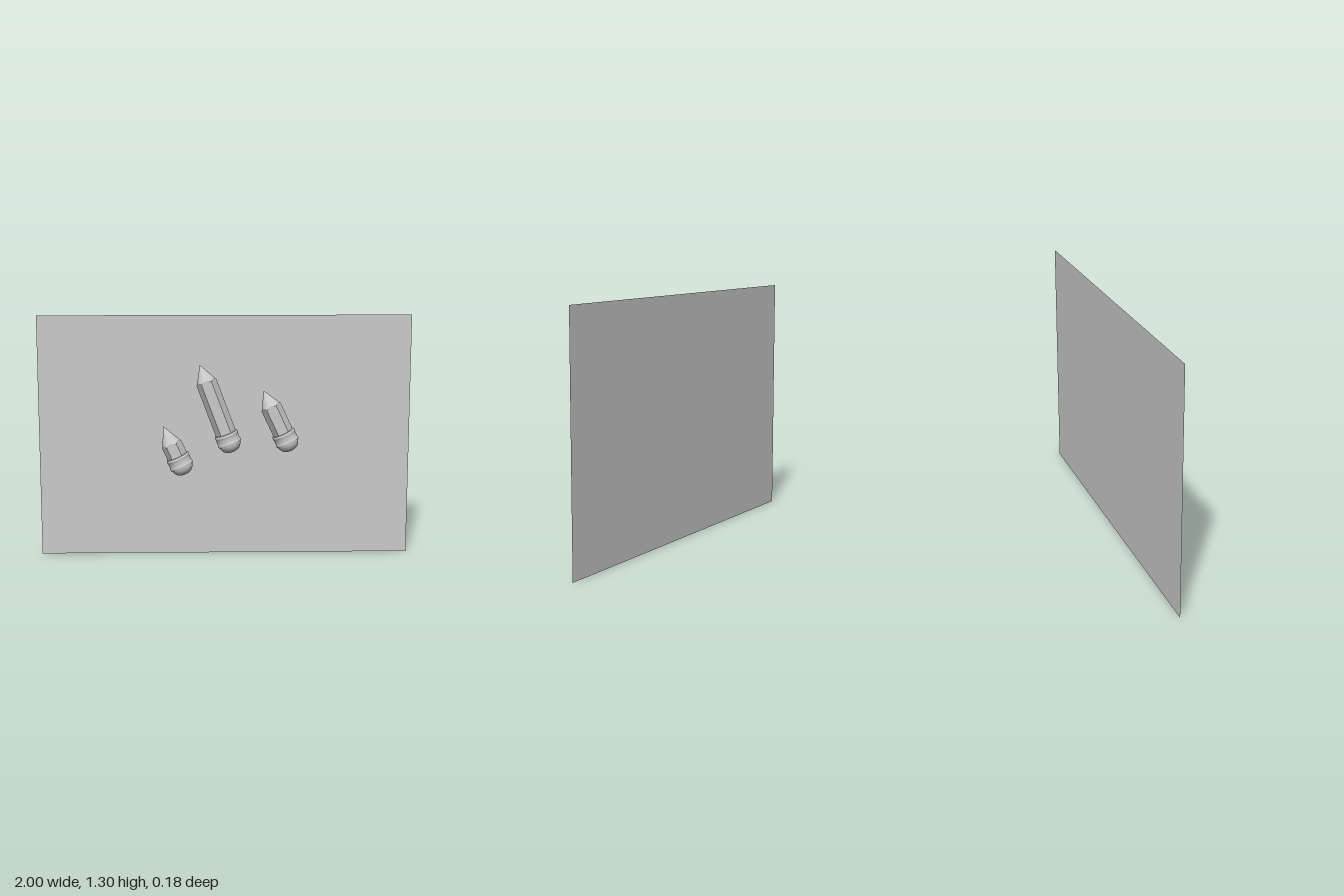
import * as THREE from 'three';
import { toCreasedNormals } from 'three/addons/utils/BufferGeometryUtils.js';

const grey = new THREE.MeshStandardMaterial({ color: 0xcccccc });
const greyDouble = new THREE.MeshStandardMaterial({ color: 0xcccccc, side: THREE.DoubleSide });

const APOTHEM = 0.048; // half the distance between flats
const CORNER = APOTHEM / Math.cos(Math.PI / 6);
const SIDES = 48;

// Radius of the hexagon at an angle, flats facing +z and -z
function hexRadius(angle) {
  const step = Math.PI / 3;
  return APOTHEM / Math.cos(angle - Math.round(angle / step) * step);
}

// Tube whose upper and lower rims are placed by rules of the angle
function hexTube(topRule, bottomRule) {
  const geo = new THREE.CylinderGeometry(1, 1, 2, SIDES, 1, true);
  const p = geo.attributes.position;
  for (let i = 0; i < p.count; i++) {
    const angle = Math.atan2(p.getX(i), p.getZ(i));
    const [r, y] = (p.getY(i) > 0 ? topRule : bottomRule)(angle);
    p.setXYZ(i, r * Math.sin(angle), y, r * Math.cos(angle));
  }
  return toCreasedNormals(geo, 0.5);
}

function part(name, geometry) {
  const mesh = new THREE.Mesh(geometry, grey);
  mesh.name = name;
  return mesh;
}

function lathe(points) {
  const profile = points.map(([r, y]) => new THREE.Vector2(r, y));
  return toCreasedNormals(new THREE.LatheGeometry(profile, 32), 0.6);
}

// Pencil with its point at the origin, hanging down the y axis
function makePencil(name, length, coneLength) {
  const pencil = new THREE.Group();
  pencil.name = name;
  const end = -length;

  // Scalloped line where the sharpened cone cuts the hexagonal body
  const rim = (a) => [hexRadius(a), -coneLength * hexRadius(a) / CORNER];
  pencil.add(part('sharpenedTip', hexTube(() => [0, 0], rim)));
  pencil.add(part('hexagonalBody', hexTube(rim, (a) => [hexRadius(a), end + 0.09])));

  // Metal band with a narrow raised lip at each end
  pencil.add(part('ferrule', lathe([
    [0.056, end + 0.046], [0.063, end + 0.046], [0.064, end + 0.049],
    [0.064, end + 0.058], [0.062, end + 0.061], [0.062, end + 0.09],
    [0.064, end + 0.093], [0.064, end + 0.101], [0.061, end + 0.107],
    [0.045, end + 0.107],
  ])));

  // Rounded eraser
  const dome = [];
  for (let i = 0; i <= 10; i++) {
    const a = (i / 10) * Math.PI / 2;
    dome.push([0.059 * Math.pow(Math.sin(a), 0.85), end + 0.05 * (1 - Math.cos(a))]);
  }
  pencil.add(part('eraser', lathe(dome)));
  return pencil;
}

export function createModel() {
  const model = new THREE.Group();
  model.name = 'pencilsOnBoard';

  // Backing sheet
  const sheet = new THREE.Mesh(new THREE.PlaneGeometry(2, 1.305), greyDouble);
  sheet.name = 'backingSheet';
  sheet.position.set(0, 0.6525, -0.09);
  model.add(sheet);

  // Pencils: name, tip x, tip y, length, cone length, tilt in degrees
  const pencils = [
    ['shortPencil', -0.33, 0.727, 0.285, 0.112, 24.5],
    ['longPencil', -0.134, 1.053, 0.497, 0.1, 20.5],
    ['mediumPencil', 0.202, 0.915, 0.355, 0.098, 25],
  ];
  for (const [name, x, y, length, cone, tilt] of pencils) {
    const pencil = makePencil(name, length, cone);
    pencil.position.set(x, y, 0.026);
    pencil.rotation.z = THREE.MathUtils.degToRad(tilt);
    model.add(pencil);
  }
  return model;
}
